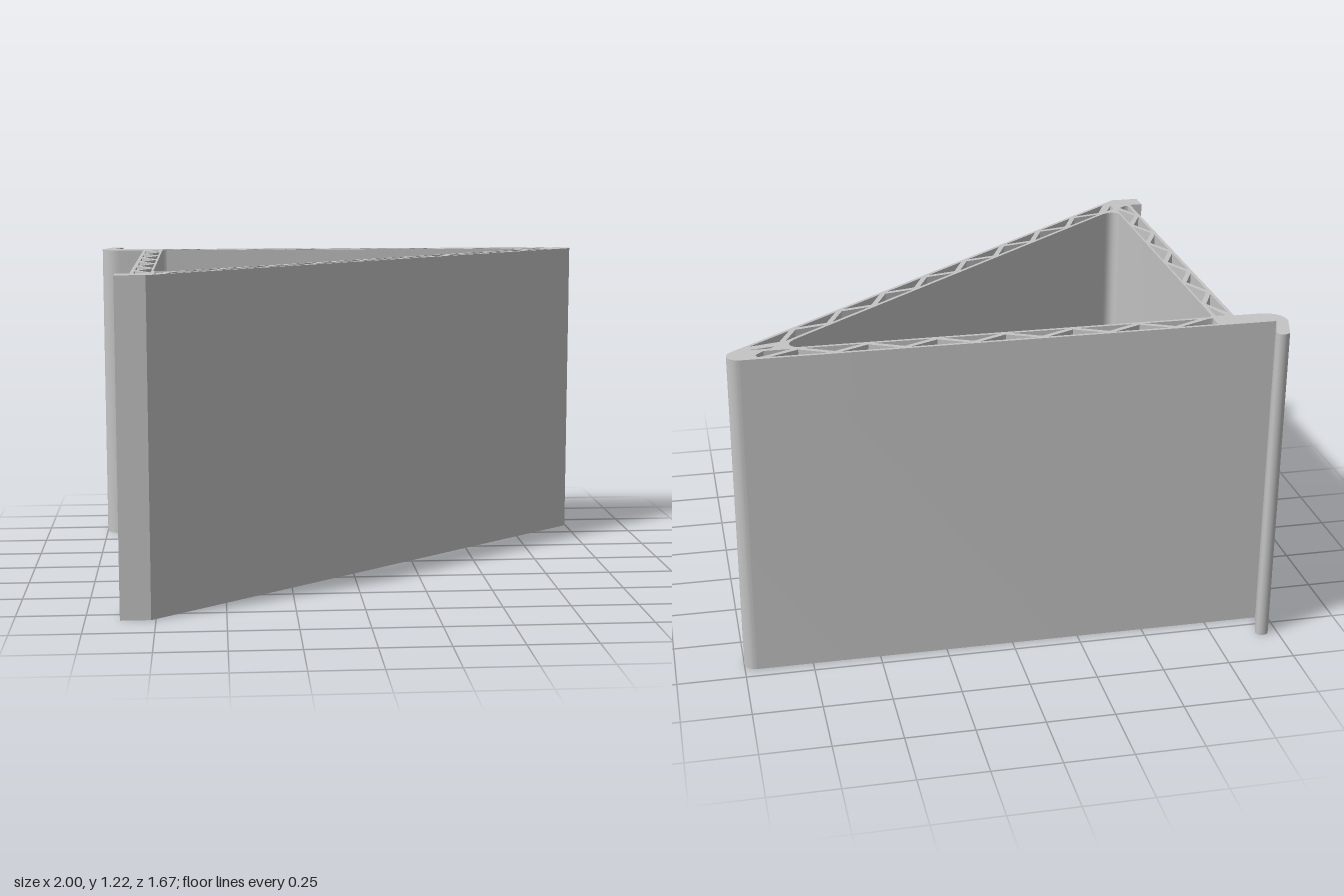
import * as THREE from 'three';
import { toCreasedNormals } from 'three/addons/utils/BufferGeometryUtils.js';

const HEIGHT = 1.217;
const BAR = 0.085;   // thickness of each hollow wall
const SKIN = 0.013;  // thickness of the wall skins
const WEB = 0.019;   // thickness of the zigzag webs

// Plan coordinates are (x, z); the shape is drawn with z flipped, then laid flat.
const path = (pts) => new THREE.Path(pts.map(([x, z]) => new THREE.Vector2(x, -z)));

// Triangular cells between zigzag webs. origin lies on the outer face,
// dir runs along the wall and normal points to its inner face.
function trussCells(origin, dir, normal, start, half, nodes, startsInside) {
  const at = (u, v) => [
    origin[0] + dir[0] * u + normal[0] * v,
    origin[1] + dir[1] * u + normal[1] * v,
  ];
  const depth = BAR - 2 * SKIN;
  const angle = Math.atan2(depth, half);
  const inset = WEB / 2 / Math.sin(angle);
  const drop = WEB / 2 / Math.cos(angle);
  const cells = [];
  for (let i = 0; i + 2 < nodes; i++) {
    const inside = (i % 2 === 0) === startsInside;
    const base = inside ? BAR - SKIN : SKIN;
    const apex = inside ? SKIN + drop : BAR - SKIN - drop;
    const u = start + i * half;
    cells.push(path([at(u + inset, base), at(u + 2 * half - inset, base), at(u + half, apex)]));
  }
  return cells;
}

// Outer outline with the hook, rounded nose and foot, counter-clockwise
function outline() {
  const p = new THREE.Path();
  p.moveTo(-0.955, 0.703);
  p.lineTo(0.955, 0.703);
  p.absarc(0.955, 0.658, 0.045, Math.PI / 2, -0.876, true);
  p.lineTo(-0.767, -0.835);
  p.lineTo(-0.877, -0.835);
  p.lineTo(-0.877, -0.755);
  p.lineTo(-0.826, -0.755);
  p.lineTo(-0.826, 0.618);
  p.lineTo(-0.925, 0.618);
  p.bezierCurveTo(-0.975, 0.618, -1.01, 0.66, -0.998, 0.71);
  p.lineTo(-0.965, 0.818);
  p.bezierCurveTo(-0.957, 0.843, -0.912, 0.84, -0.918, 0.81);
  return new THREE.Shape(p.getPoints(10).reverse());
}

// Large triangular opening with softened corners
function opening() {
  const p = new THREE.Path();
  p.moveTo(-0.746, 0.595);
  p.quadraticCurveTo(-0.746, 0.618, -0.723, 0.618);
  p.lineTo(0.755, 0.618);
  p.quadraticCurveTo(0.805, 0.586, 0.74, 0.531);
  p.lineTo(-0.669, -0.643);
  p.quadraticCurveTo(-0.72, -0.685, -0.746, -0.64);
  p.closePath();
  return p;
}

export function createModel() {
  const group = new THREE.Group();
  group.name = 'triangularBracket';
  const grey = new THREE.MeshStandardMaterial({ color: 0xc4c4c4 });
  grey.name = 'grey';

  const foot = [-0.767, 0.835];
  const length = Math.hypot(1.751, 1.4585);
  const slope = [1.751 / length, -1.4585 / length];

  const shape = outline();
  shape.holes.push(
    opening(),
    // back, side and diagonal wall cells
    ...trussCells([0, -0.703], [1, 0], [0, 1], -0.709, 0.1217, 14, true),
    ...trussCells([-0.826, 0], [0, 1], [1, 0], -0.605, 0.1208, 12, false),
    ...trussCells(foot, slope, [slope[1], -slope[0]], 0.066, 0.1197, 19, false),
    // irregular cells at the wall ends
    path([[-0.742, -0.69], [-0.608, -0.69], [-0.73, -0.631], [-0.742, -0.631]]),
    path([[0.775, -0.632], [0.87, -0.678], [0.895, -0.685], [0.9, -0.665], [0.87, -0.632]]),
    path([[0.83, -0.597], [0.845, -0.614], [0.92, -0.614]]),
    path([[-0.797, -0.61], [-0.76, -0.61], [-0.76, -0.508]]),
    path([[-0.812, 0.625], [-0.772, 0.72], [-0.8, 0.745], [-0.812, 0.745]]),
    path([[-0.742, 0.714], [-0.706, 0.689], [-0.739, 0.757]]),
  );

  let geometry = new THREE.ExtrudeGeometry(shape, { depth: HEIGHT, bevelEnabled: false, curveSegments: 10 });
  geometry.rotateX(-Math.PI / 2);
  geometry = toCreasedNormals(geometry, 0.5);

  const bracket = new THREE.Mesh(geometry, grey);
  bracket.name = 'hollowWallBracket';
  group.add(bracket);
  return group;
}
